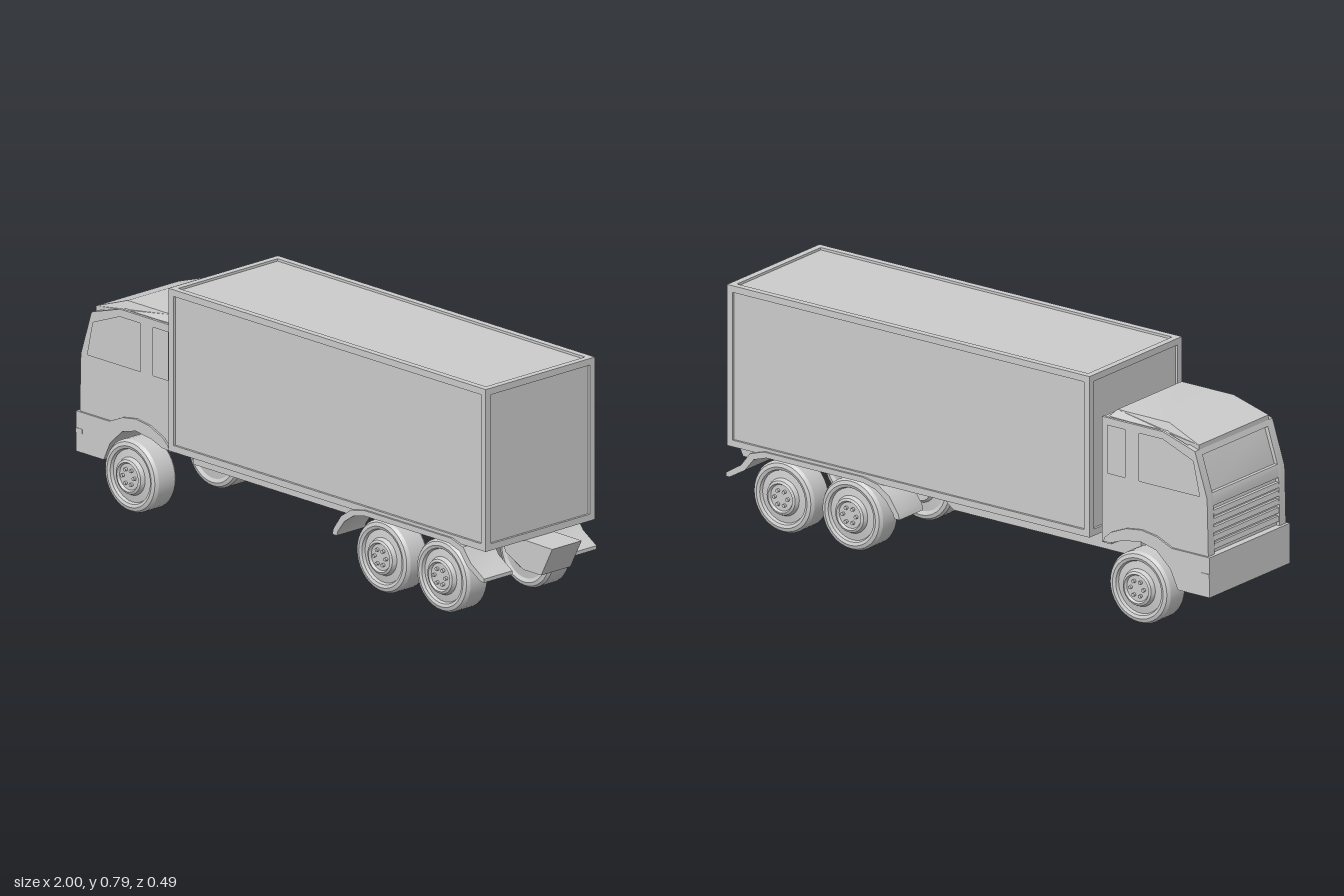
import * as THREE from 'three';
import { toCreasedNormals } from 'three/addons/utils/BufferGeometryUtils.js';

const mat = new THREE.MeshStandardMaterial({ color: 0xcccccc });

export function createModel() {
  const root = new THREE.Group();
  root.name = 'boxTruck';

  const add = (name, geo, x = 0, y = 0, z = 0, parent = root) => {
    const m = new THREE.Mesh(geo, mat);
    m.name = name;
    m.position.set(x, y, z);
    parent.add(m);
    return m;
  };
  // box given by its limits
  const box = (name, x0, x1, y0, y1, z0, z1) =>
    add(name, new THREE.BoxGeometry(x1 - x0, y1 - y0, z1 - z0),
      (x0 + x1) / 2, (y0 + y1) / 2, (z0 + z1) / 2);
  const vecs = (pts) => pts.map((p) => new THREE.Vector2(p[0], p[1]));
  // side profile extruded from z0 to z1
  const slab = (name, pts, z0, z1, holes = []) => {
    const shape = new THREE.Shape(vecs(pts));
    holes.forEach((h) => shape.holes.push(new THREE.Path(vecs(h))));
    const geo = new THREE.ExtrudeGeometry(shape, { depth: z1 - z0, bevelEnabled: false });
    return add(name, toCreasedNormals(geo, 0.6), 0, 0, z0);
  };
  // the same slab on both sides of the truck
  const pair = (name, pts, z0, z1, holes) => {
    slab(name + 'Left', pts, z0, z1, holes);
    slab(name + 'Right', pts, -z1, -z0, holes);
  };

  // cargo box: recessed panels in a frame of twelve bars
  const [X0, X1, Y0, Y1, Z] = [-0.55, 0.88, 0.25, 0.785, 0.238];
  const bar = 0.022, inset = 0.008;
  box('cargoPanels', X0 + inset, X1 - inset, Y0 + 0.002, Y1 - inset, -Z + inset, Z - inset);
  for (const z of [-Z, Z - bar]) {
    for (const y of [Y0, Y1 - bar]) box('cargoRail', X0, X1, y, y + bar, z, z + bar);
    for (const x of [X0, X1 - bar]) box('cargoPost', x, x + bar, Y0 + bar, Y1 - bar, z, z + bar);
  }
  for (const x of [X0, X1 - bar])
    for (const y of [Y0, Y1 - bar]) box('cargoCrossRail', x, x + bar, y, y + bar, -Z + bar, Z - bar);

  // chassis and tail block
  slab('chassis', [[-0.62, 0.15], [0.12, 0.15], [0.245, 0.25], [-0.62, 0.25]], -0.065, 0.065);
  slab('tailBlock', [[0.76, 0.25], [0.79, 0.19], [0.87, 0.15], [0.95, 0.15], [1, 0.247]], -0.064, 0.064);

  // rear mudguards over both axles
  pair('rearMudguard', [
    [0.195, 0.15], [0.2, 0.17], [0.235, 0.22], [0.28, 0.25], [0.34, 0.262], [0.73, 0.262],
    [0.785, 0.245], [0.82, 0.2], [0.88, 0.162], [0.88, 0.15], [0.865, 0.15],
    [0.805, 0.185], [0.77, 0.228], [0.72, 0.244], [0.34, 0.244], [0.29, 0.232],
    [0.25, 0.205], [0.22, 0.165], [0.215, 0.15],
  ], 0.122, 0.245);

  // cab core, set back behind the window frames
  slab('cabCore', [
    [-0.977, 0.26], [-0.973, 0.46], [-0.925, 0.6], [-0.81, 0.643], [-0.574, 0.643],
    [-0.574, 0.235], [-0.6, 0.235], [-0.66, 0.255], [-0.73, 0.265], [-0.8, 0.255],
  ], -0.19, 0.19);
  // cab sides with window openings
  pair('cabSide', [
    [-0.99, 0.26], [-0.985, 0.46], [-0.937, 0.608], [-0.81, 0.647], [-0.57, 0.647],
    [-0.57, 0.23], [-0.6, 0.235], [-0.66, 0.255], [-0.73, 0.265], [-0.8, 0.255],
  ], 0.19, 0.2, [
    [[-0.955, 0.463], [-0.93, 0.575], [-0.81, 0.622], [-0.717, 0.622], [-0.717, 0.463]],
    [[-0.66, 0.463], [-0.66, 0.622], [-0.592, 0.622], [-0.592, 0.463]],
  ]);
  // front pillars beside grille and windscreen
  pair('frontPillar', [
    [-0.99, 0.26], [-0.985, 0.46], [-0.937, 0.608], [-0.92, 0.608], [-0.965, 0.46], [-0.965, 0.26],
  ], 0.168, 0.19);
  // bars above and below the windscreen, and grille slats
  slab('windscreenSill', [[-0.986, 0.43], [-0.985, 0.46], [-0.981, 0.472], [-0.96, 0.472], [-0.96, 0.43]], -0.168, 0.168);
  slab('windscreenHeader', [[-0.943, 0.59], [-0.937, 0.608], [-0.9, 0.619], [-0.9, 0.59]], -0.19, 0.19);
  for (let i = 0; i < 5; i++) {
    const y = 0.285 + i * 0.028;
    slab('grilleSlat', [[-0.988, y], [-0.985, y + 0.017], [-0.965, y + 0.017], [-0.965, y]], -0.168, 0.168);
  }
  box('cabRearWall', -0.6, -0.57, 0.225, 0.645, -0.19, 0.19);

  // raised roof, tapering inward to the top
  const roof = slab('roofCap', [
    [-0.937, 0.6], [-0.937, 0.624], [-0.81, 0.668], [-0.605, 0.668], [-0.583, 0.645], [-0.81, 0.64],
  ], -0.18, 0.18);
  roof.position.z = 0;
  const pos = roof.geometry.attributes.position;
  for (let i = 0; i < pos.count; i++)
    pos.setZ(i, (pos.getZ(i) - 0.18) * (pos.getY(i) > 0.66 ? 0.92 : 1));
  roof.geometry = toCreasedNormals(roof.geometry, 0.2);

  // bumper running back into the front wheel arches
  slab('bumper', [
    [-1, 0.137], [-1, 0.27], [-0.85, 0.27], [-0.79, 0.296], [-0.73, 0.305], [-0.67, 0.297],
    [-0.61, 0.272], [-0.585, 0.25], [-0.58, 0.235], [-0.61, 0.237], [-0.66, 0.255],
    [-0.73, 0.265], [-0.79, 0.25], [-0.845, 0.2], [-0.875, 0.137],
  ], -0.207, 0.207);
  box('bumperStrip', -1, -0.97, 0.2, 0.215, -0.209, 0.209);

  // wheels: lathe profile is radius against axle position, outer side positive
  const profile = vecs([
    [0, -0.052], [0.05, -0.058], [0.058, -0.048], [0.088, -0.044], [0.1, -0.05], [0.112, -0.046],
    [0.119, -0.036], [0.119, 0.035], [0.112, 0.046], [0.1, 0.05], [0.09, 0.046], [0.086, 0.036],
    [0.062, 0.04], [0.056, 0.054], [0.048, 0.058], [0.043, 0.05], [0, 0.05],
  ]);
  const tyre = toCreasedNormals(new THREE.LatheGeometry(profile, 36), 0.4);
  const bolt = new THREE.CylinderGeometry(0.006, 0.006, 0.014, 8);
  for (const x of [-0.735, 0.4, 0.67]) {
    for (const s of [1, -1]) {
      const wheel = new THREE.Group();
      wheel.name = (x < 0 ? 'front' : 'rear') + 'Wheel';
      wheel.position.set(x, 0.119, s * 0.181);
      wheel.rotation.x = s * Math.PI / 2;
      add('tyreAndRim', tyre, 0, 0, 0, wheel);
      for (let i = 0; i < 6; i++) {
        const a = i * Math.PI / 3;
        add('wheelBolt', bolt, 0.026 * Math.cos(a), 0.052, 0.026 * Math.sin(a), wheel);
      }
      root.add(wheel);
    }
  }
  return root;
}
